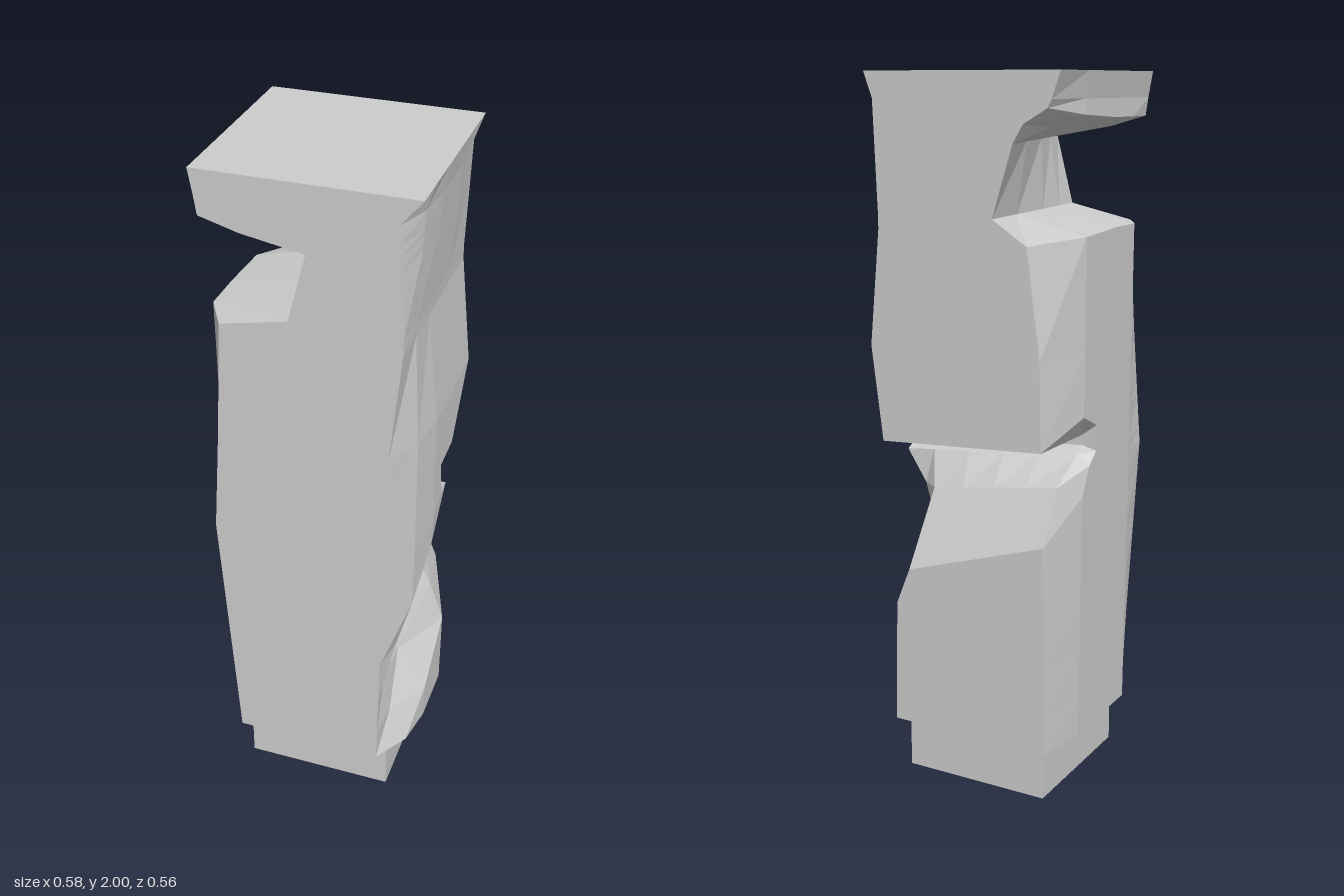
import * as THREE from 'three';

const { lerp, clamp } = THREE.MathUtils;
const DEPTHS = [0.28, 0.18, 0.06, -0.12, -0.28]; // z of the points along each side

// Worn outline by height: y, then front edge, side and rear edge at +x, the same at -x
const OUTLINE = [
  [0.17, 0.2, 0.285, 0.225, -0.235, -0.285, -0.262],
  [0.94, 0.212, 0.288, 0.205, -0.28, -0.29, -0.25],
  [1.27, 0.217, 0.284, 0.283, -0.255, -0.292, -0.24],
  [1.6, 0.25, 0.252, 0.25, -0.235, -0.293, -0.2],
  [1.93, 0.23, 0.277, 0.262, -0.283, -0.283, -0.27],
  [2, 0.288, 0.288, 0.288, -0.295, -0.295, -0.295],
];

// Sections from bottom to top. back: height of the rear edge [-x, +x],
// minZ: cut from behind [-x, +x], minX: cut from the -x side [back, front]
const SECTIONS = [
  { y: 0.17 },
  { y: 0.28 },
  { y: 0.42 },
  { y: 0.55, back: [0.6, 0.52] },
  { y: 0.72, back: [0.78, 0.6] },
  { y: 0.85, back: [0.92, 0.83], minZ: [-0.2, -0.15] },
  { y: 0.94, back: [0.98, 0.94], minZ: [-0.08, -0.12] },
  { y: 0.98, back: [1, 0.96], minZ: [-0.04, -0.02] },
  { y: 1.08, back: [1.02, 1.1], minZ: [-0.04, 0] },
  { y: 1.13, back: [1.03, 1] },
  { y: 1.27 },
  { y: 1.59, back: [1.56, 1.59] },
  { y: 1.63, minX: [-0.1, -0.05] },
  { y: 1.82, minX: [-0.16, 0] },
  { y: 1.85, back: [1.87, 1.85], minX: [-0.19, -0.17] },
  { y: 1.88, back: [1.91, 1.88] },
  { y: 1.93 },
  { y: 2 },
];

function outlineAt(y) {
  const i = Math.max(1, OUTLINE.findIndex((row) => row[0] >= y));
  const [low, high] = [OUTLINE[i - 1], OUTLINE[i]];
  const t = (y - low[0]) / (high[0] - low[0]);
  return low.map((value, k) => lerp(value, high[k], t));
}

// Slanting gouge in the lower +x side, running up towards the back
function gouge(y, z) {
  if (y < 0.2 || y > 0.97) return 0;
  const centre = 0.18 - 0.55 * (y - 0.28);
  const spread = z > centre ? Math.min(0.2, 0.28 - centre) : Math.max(0.12, 0.55 * y - 0.1);
  const depth = 0.17 * Math.sin((Math.PI * (y - 0.2)) / 0.77);
  return depth * Math.max(0, 1 - Math.abs(z - centre) / spread);
}

// One closed loop: front, +x side, back, -x side
function sectionLoop({ y, back = [y, y], minX, minZ }) {
  const [, rightFront, rightSide, rightBack, leftFront, leftSide, leftBack] = outlineAt(y);
  const right = [rightFront, lerp(rightFront, rightSide, 0.75), rightSide, rightSide, rightBack]
    .map((x, i) => x - gouge(y, DEPTHS[i]));
  const left = [leftFront, leftSide, leftSide, leftSide, leftBack];
  const loop = [];
  const add = (x, z) => {
    const t = (x + 0.29) / 0.58;
    const rear = clamp((0.1 - z) / 0.38, 0, 1) ** 2;
    const py = lerp(y, lerp(back[0], back[1], t), rear);
    const pz = minZ ? Math.max(z, lerp(minZ[0], minZ[1], t)) : z;
    const px = minX ? Math.max(x, lerp(minX[0], minX[1], (z + 0.28) / 0.56)) : x;
    loop.push([px, py, pz]);
  };
  for (let i = 0; i < 4; i++) add(lerp(left[0], right[0], i / 4), DEPTHS[0]);
  for (let i = 0; i < 4; i++) add(right[i], DEPTHS[i]);
  for (let i = 0; i < 4; i++) add(lerp(right[4], left[4], i / 4), DEPTHS[4]);
  for (let i = 4; i > 0; i--) add(left[i], DEPTHS[i]);
  return loop;
}

// Skin the loops and close both ends
function shaftGeometry() {
  const loops = SECTIONS.map(sectionLoop);
  const n = loops[0].length;
  const positions = loops.flat(2);
  const index = [];
  for (let k = 0; k < loops.length - 1; k++) {
    for (let j = 0; j < n; j++) {
      const a = k * n + j;
      const b = k * n + ((j + 1) % n);
      index.push(a, b, b + n, a, b + n, a + n);
    }
  }
  const top = (loops.length - 1) * n;
  const centre = loops.length * n;
  positions.push(0, 0.17, 0, 0, 2, 0);
  for (let j = 0; j < n; j++) {
    const next = (j + 1) % n;
    index.push(centre, next, j, centre + 1, top + j, top + next);
  }
  const geometry = new THREE.BufferGeometry();
  geometry.setAttribute('position', new THREE.Float32BufferAttribute(positions, 3));
  geometry.setIndex(index);
  const faceted = geometry.toNonIndexed();
  faceted.computeVertexNormals();
  return faceted;
}

export function createModel() {
  const group = new THREE.Group();
  group.name = 'brokenPillar';
  const stone = new THREE.MeshStandardMaterial({ color: 0xcccccc, flatShading: true });

  // Worn square shaft with chipped notches
  const shaft = new THREE.Mesh(shaftGeometry(), stone);
  shaft.name = 'shaft';
  group.add(shaft);

  // Narrower foot below the shaft
  const foot = new THREE.Mesh(new THREE.BoxGeometry(0.44, 0.17, 0.44), stone);
  foot.name = 'foot';
  foot.position.set(-0.005, 0.085, 0);
  group.add(foot);

  return group;
}
